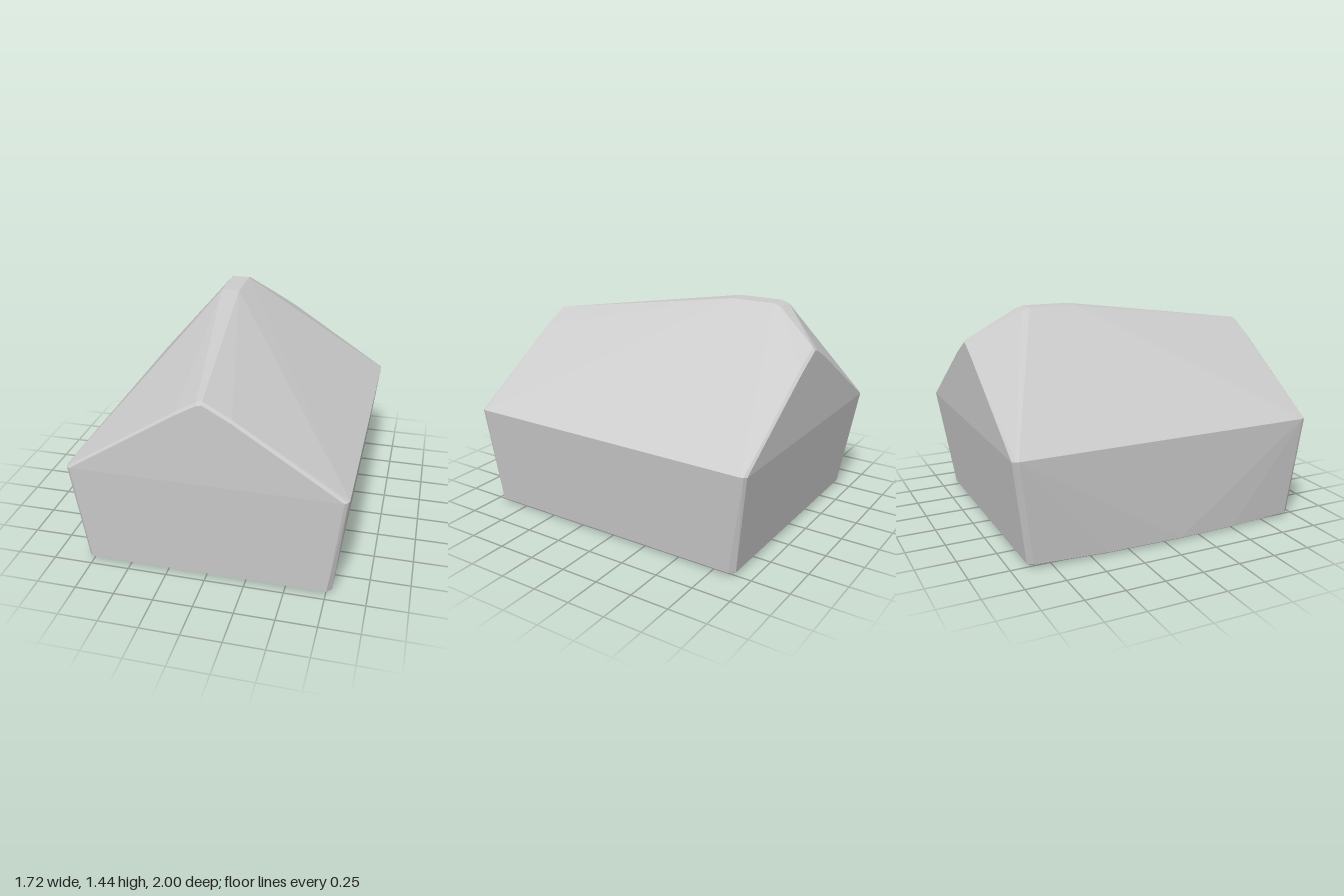
import * as THREE from 'three';
import { ConvexGeometry } from 'three/addons/geometries/ConvexGeometry.js';

export function createModel() {
  const group = new THREE.Group();
  const points = [];
  const add = (x, y, z) => points.push(new THREE.Vector3(x, y, z));

  // Base and eave corners, each softened by a small bevel
  for (const sx of [-1, 1]) {
    for (const sz of [-1, 1]) {
      const foot = sz > 0 ? 0.96 : -0.9;
      add(sx * 0.785, 0.025, foot - sz * 0.035);
      add(sx * 0.755, 0.025, foot);
      add(sx * 0.75, 0.006, foot - sz * 0.035);

      add(sx * 0.862, 0.695, sz * 0.965);
      add(sx * 0.855, 0.695, sz * 0.985);
      add(sx * 0.835, 0.69, sz * 0.998);
    }
  }

  // Bottom edge bowing outward on the right-hand wall
  for (const [x, z] of [[-0.81, 0.5], [-0.822, 0.1], [-0.812, -0.4]]) {
    add(x, 0.018, z);
    add(x + 0.03, 0, z);
  }
  add(0.75, 0, 0);

  // Gable tops at both ends, with narrow bevelled rims
  for (const sz of [-1, 1]) {
    for (const [x, y] of [[-0.15, 1.15], [-0.025, 1.222], [0.01, 1.23], [0.18, 1.135]]) {
      add(x, y, sz * 0.983);
      add(x, y - 0.018, sz);
    }
  }

  // Short off-centre ridge
  for (const x of [-0.23, -0.11]) {
    add(x, 1.432, -0.35);
    add(x, 1.436, -0.65);
    add(x, 1.42, -0.7);
  }

  const body = new THREE.Mesh(
    new ConvexGeometry(points),
    new THREE.MeshStandardMaterial({ color: 0xcccccc, flatShading: true })
  );
  body.name = 'facetedBlock';
  group.add(body);
  return group;
}
